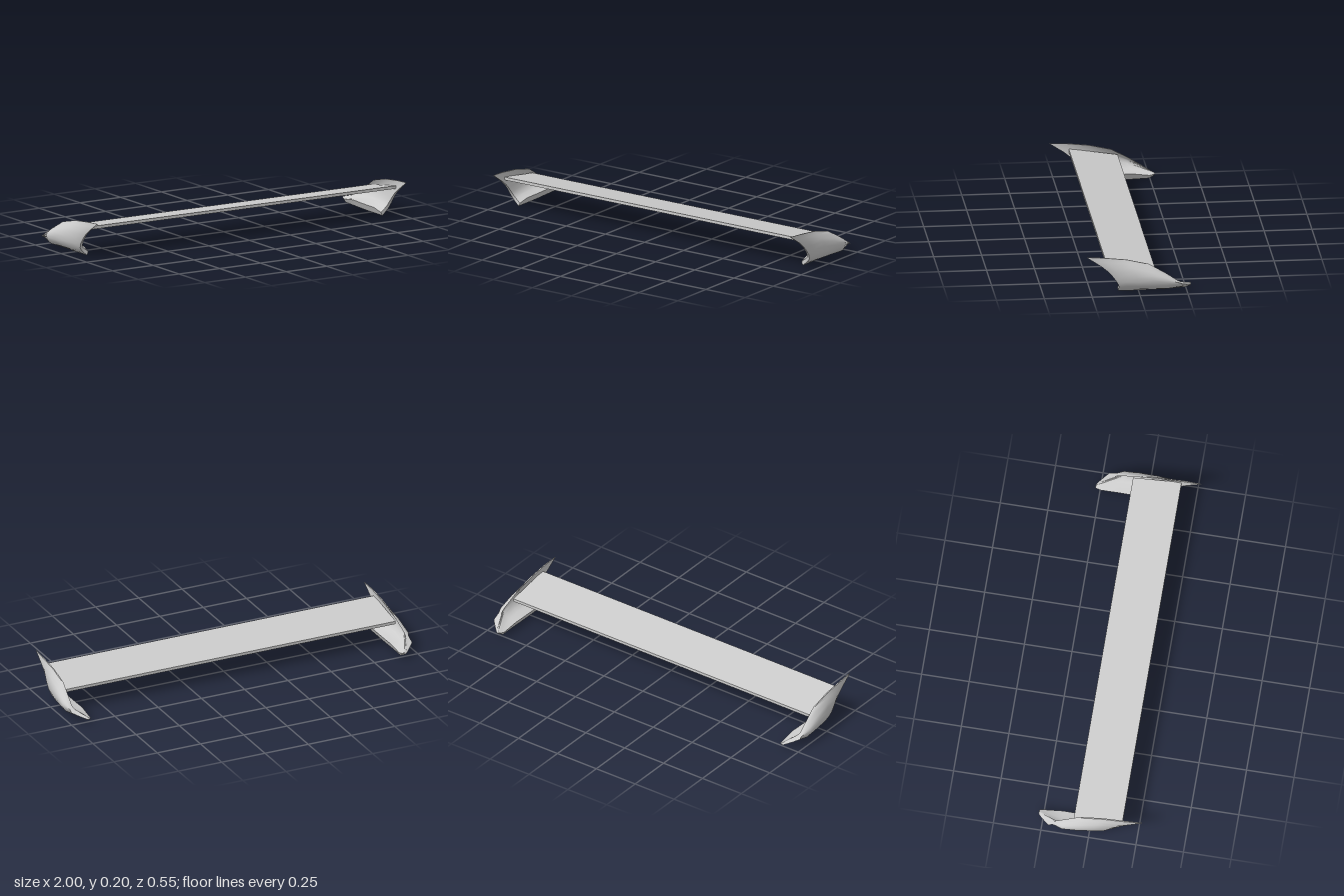
import * as THREE from 'three';
import { toCreasedNormals } from 'three/addons/utils/BufferGeometryUtils.js';

// Outer face of the left end plate: sections from front to rear, each from top edge to lip [x, y, z]
const SECTIONS = [
  [[0.95, 0.203, 0.275], [0.955, 0.125, 0.165], [0.95, 0.045, 0.107], [0.908, 0.002, 0.107]],
  [[0.955, 0.198, 0.185], [0.972, 0.125, 0.12], [0.968, 0.045, 0.06], [0.908, 0.002, 0.05]],
  [[0.955, 0.185, 0.065], [0.985, 0.125, 0.03], [0.978, 0.045, 0], [0.908, 0.002, -0.01]],
  [[0.957, 0.158, -0.05], [0.995, 0.105, -0.06], [0.985, 0.045, -0.07], [0.908, 0.003, -0.08]],
  [[0.968, 0.107, -0.14], [0.999, 0.08, -0.14], [0.982, 0.035, -0.145], [0.908, 0.005, -0.15]],
  [[0.985, 0.055, -0.215], [0.955, 0.042, -0.245], [0.918, 0.027, -0.275], [0.903, 0.01, -0.245]],
];
// Offset from outer to inner face at each row, and its scale at each section
const INWARD = [[-0.006, 0], [-0.02, 0.004], [-0.03, 0.015], [-0.018, 0.036]];
const THICKNESS = [0.5, 1, 1, 1, 1, 0.5];
const STEPS = 9;

function endPlateGeometry(side) {
  const spline = (pts) => new THREE.CatmullRomCurve3(
    pts.map(([x, y, z]) => new THREE.Vector3(side * x, y, z))).getPoints(STEPS);
  const ring = 2 * (STEPS + 1);
  const positions = [], index = [];
  SECTIONS.forEach((outer, i) => {
    const inner = outer.map(([x, y, z], j) =>
      [x + INWARD[j][0] * THICKNESS[i], y + INWARD[j][1] * THICKNESS[i], z]);
    [...spline(outer), ...spline(inner).reverse()].forEach((p) => positions.push(p.x, p.y, p.z));
  });
  const tri = (a, b, c) => (side > 0 ? index.push(a, b, c) : index.push(a, c, b));
  const last = SECTIONS.length - 1;
  for (let i = 0; i < last; i++) {
    for (let j = 0; j < ring; j++) {
      const a = i * ring + j, b = i * ring + (j + 1) % ring;
      tri(a, b, a + ring);
      tri(b, b + ring, a + ring);
    }
  }
  // Close the leading and trailing edges
  for (let j = 0; j < STEPS; j++) {
    const m = ring - 1 - j, r = last * ring;
    tri(j, m, j + 1);
    tri(j + 1, m, m - 1);
    tri(r + j, r + j + 1, r + m);
    tri(r + j + 1, r + m - 1, r + m);
  }
  const geo = new THREE.BufferGeometry();
  geo.setAttribute('position', new THREE.Float32BufferAttribute(positions, 3));
  geo.setIndex(index);
  return toCreasedNormals(geo, 0.9);
}

export function createModel() {
  const group = new THREE.Group();
  group.name = 'rearWing';
  const paint = new THREE.MeshStandardMaterial({ color: 0xcccccc });
  paint.name = 'light grey paint';

  // Flat blade, sheared so the front edge sits higher
  const bladeGeo = new THREE.BoxGeometry(1.908, 0.016, 0.255);
  const pos = bladeGeo.attributes.position;
  for (let i = 0; i < pos.count; i++) pos.setY(i, pos.getY(i) + 0.157 * pos.getZ(i));
  bladeGeo.computeVertexNormals();
  const blade = new THREE.Mesh(bladeGeo, paint);
  blade.name = 'wingBlade';
  blade.position.set(0, 0.14, 0.043);
  group.add(blade);

  // Curled end plates
  for (const side of [1, -1]) {
    const plate = new THREE.Mesh(endPlateGeometry(side), paint);
    plate.name = side > 0 ? 'leftEndPlate' : 'rightEndPlate';
    group.add(plate);
  }
  return group;
}
